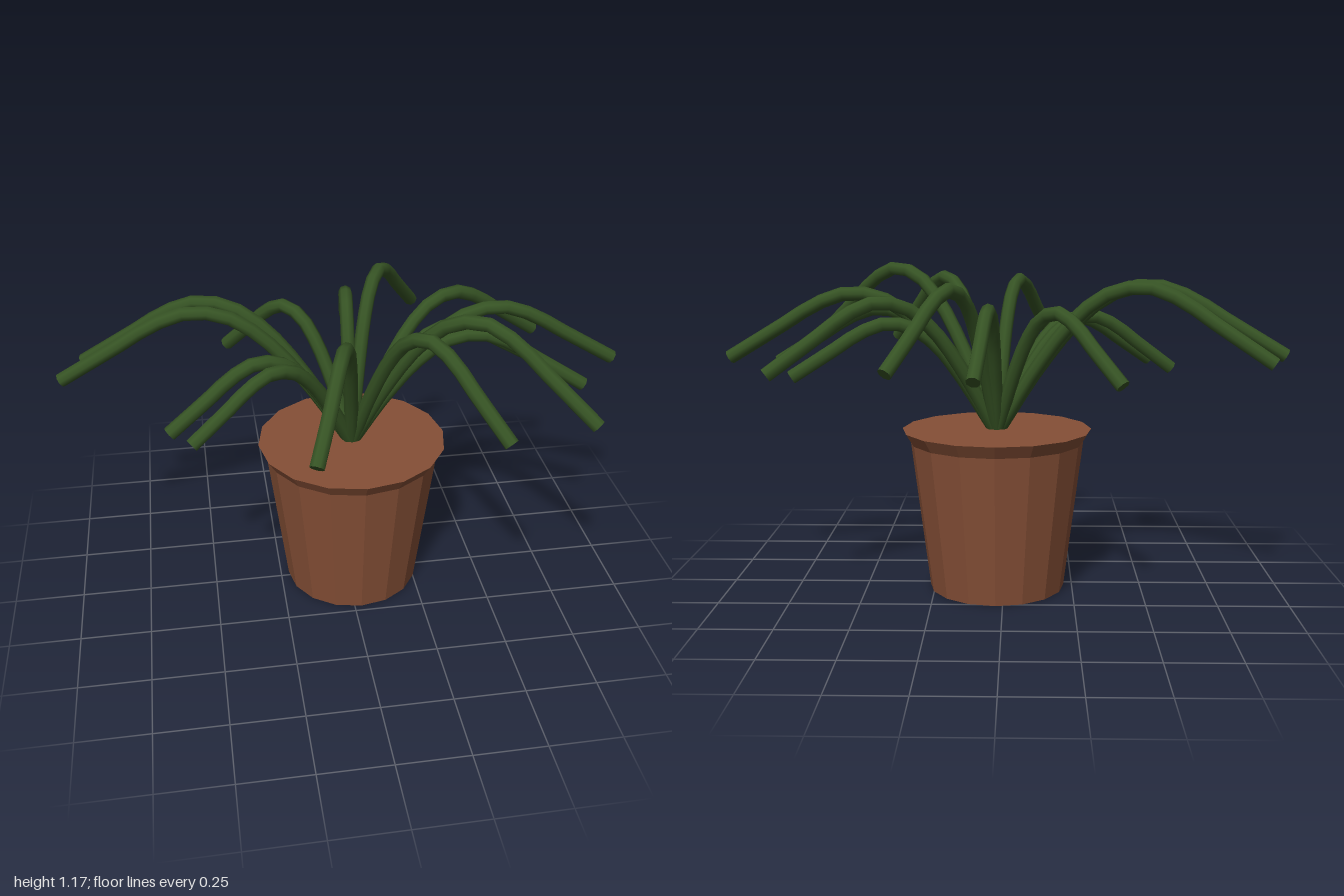
import * as THREE from 'three';

const CX = 0.025, CZ = -0.02, BASE_Y = 0.57;

// Each leaf: tip x, tip y, tip z, peak height, sideways bow
const LEAVES = [
  [0.98, 0.84, -0.02, 1.07, 0],
  [-0.98, 0.86, -0.105, 1.10, 0],
  [-0.91, 0.85, -0.265, 1.10, 0],
  [-0.39, 0.80, -0.43, 1.02, 0.02],
  [0.085, 0.83, -0.55, 1.03, -0.01],
  [0.355, 0.86, -0.59, 1.10, -0.03],
  [0.78, 0.82, -0.34, 1.05, -0.02],
  [0.73, 0.79, -0.17, 0.97, -0.01],
  [0.83, 0.81, 0.11, 1.01, 0.01],
  [0.74, 0.87, 0.50, 1.145, 0],
  [0.44, 0.86, 0.55, 1.11, 0.02],
  [-0.18, 0.86, 0.59, 1.10, -0.03],
  [-0.55, 0.80, 0.30, 0.97, -0.02],
  [-0.62, 0.78, 0.18, 0.98, -0.02],
];

// Arching centre line: steep rise, rounded peak, drooping tip
function leafCurve([tx, ty, tz, peak, bow]) {
  const dx = tx - CX, dz = tz - CZ, len = Math.hypot(dx, dz);
  const rise = peak - BASE_Y;
  const profile = [
    [0, BASE_Y],
    [0.15, BASE_Y + rise * 0.45],
    [0.29, BASE_Y + rise * 0.78],
    [0.41, BASE_Y + rise * 0.95],
    [0.54, peak],
    [0.66, peak - (peak - ty) * 0.15],
    [0.8, peak - (peak - ty) * 0.5],
    [1, ty],
  ];
  return new THREE.CatmullRomCurve3(profile.map(([t, y]) => {
    const b = bow * Math.sin(Math.PI * t);
    return new THREE.Vector3(CX + dx * t - (dz / len) * b, y, CZ + dz * t + (dx / len) * b);
  }));
}

function makeLeaf(data, material) {
  const leaf = new THREE.Group();
  leaf.name = 'leaf';
  const curve = leafCurve(data);
  const stalk = new THREE.Mesh(new THREE.TubeGeometry(curve, 16, 0.025, 8), material);
  stalk.name = 'leafStalk';
  // Flat end closing the tube
  const tip = new THREE.Mesh(new THREE.CircleGeometry(0.025, 8), material);
  tip.name = 'leafTip';
  tip.position.copy(curve.getPoint(1));
  tip.quaternion.setFromUnitVectors(new THREE.Vector3(0, 0, 1), curve.getTangent(1));
  leaf.add(stalk, tip);
  return leaf;
}

export function createModel() {
  const model = new THREE.Group();
  model.name = 'pottedPlant';

  const terracotta = new THREE.MeshStandardMaterial({ color: 0x85503a });
  terracotta.name = 'terracotta';
  terracotta.color.set(0x854f36);
  terracotta.flatShading = true;
  const leafGreen = new THREE.MeshStandardMaterial({ color: 0x365324 });
  leafGreen.name = 'leafGreen';

  // Faceted pot with flared rim, closed top and bottom
  const profile = [[0, 0], [0.245, 0], [0.312, 0.54], [0.34, 0.585], [0, 0.585]];
  const pot = new THREE.Mesh(
    new THREE.LatheGeometry(profile.map(([r, y]) => new THREE.Vector2(r, y)), 16), terracotta);
  pot.name = 'pot';
  pot.position.set(CX, 0, CZ);
  model.add(pot);

  // Fountain of drooping leaves
  const foliage = new THREE.Group();
  foliage.name = 'foliage';
  for (const data of LEAVES) foliage.add(makeLeaf(data, leafGreen));
  model.add(foliage);
  return model;
}
